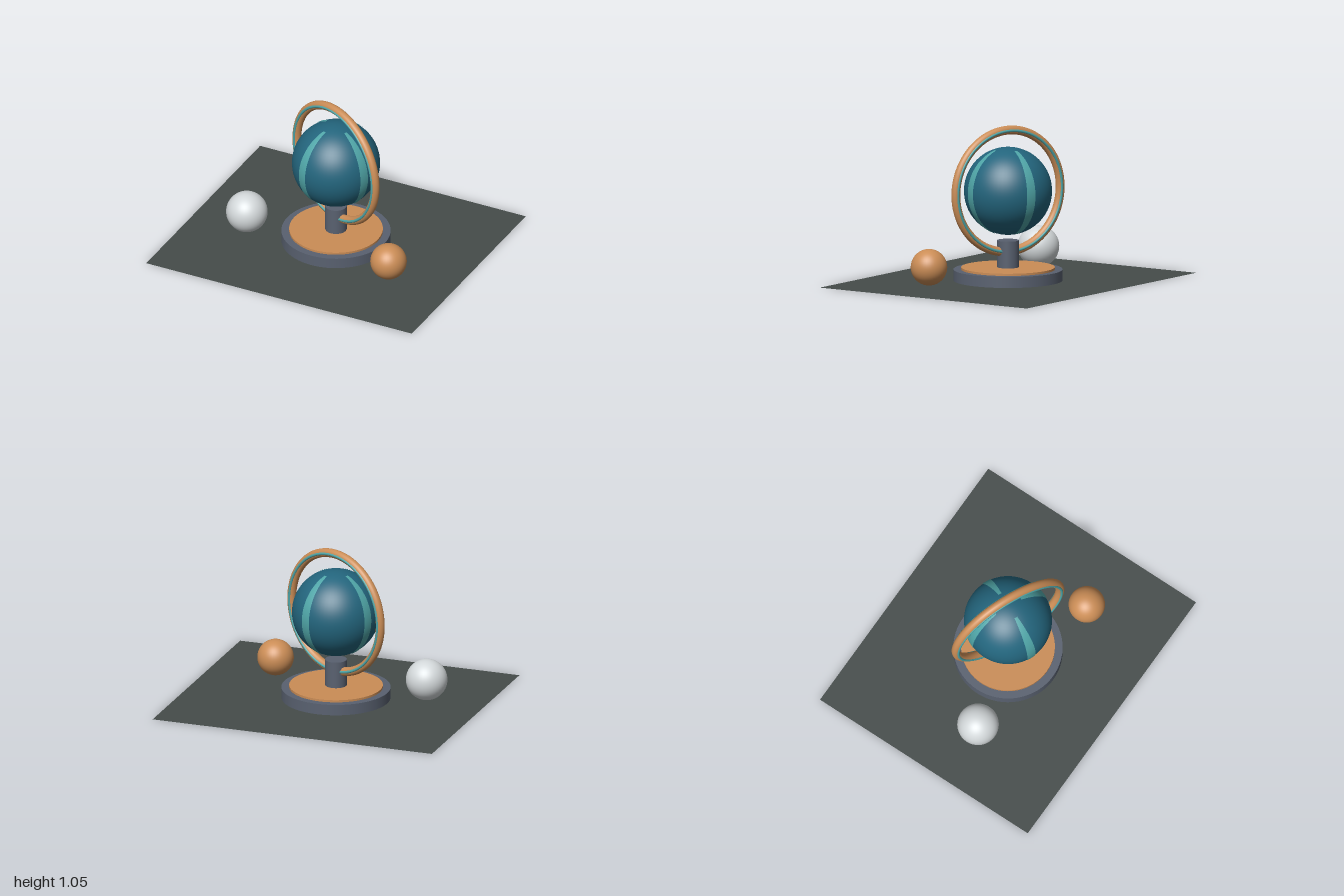
import * as THREE from 'three';

const mat = (name, color, side = THREE.FrontSide) => {
  const m = new THREE.MeshStandardMaterial({ color, side });
  m.name = name;
  return m;
};

export function createModel() {
  const model = new THREE.Group();
  model.name = 'globeDisplay';

  const slate = mat('slate', 0x596170);
  const copper = mat('copper', 0xcb8d56);
  const ocean = mat('oceanBlue', 0x23657d);
  const teal = mat('teal', 0x4fa5a7);
  const silver = mat('silver', 0xd3d8da);
  const ground = mat('darkFloor', 0x454c4a, THREE.DoubleSide);

  const add = (parent, name, geometry, material, x = 0, y = 0, z = 0) => {
    const mesh = new THREE.Mesh(geometry, material);
    mesh.name = name;
    mesh.position.set(x, y, z);
    parent.add(mesh);
    return mesh;
  };
  // Upright disc or post between two heights
  const disc = (name, r, y0, y1, material) =>
    add(model, name, new THREE.CylinderGeometry(r, r, y1 - y0, 64), material, 0, (y0 + y1) / 2, 0);

  // Floor and stepped stand
  add(model, 'floor', new THREE.PlaneGeometry(2, 1.69).rotateX(-Math.PI / 2), ground);
  disc('base', 0.367, 0.001, 0.075, slate);
  disc('baseInlay', 0.315, 0.07, 0.09, copper);
  disc('post', 0.073, 0.08, 0.272, slate);

  // Globe and ring share one turn about the vertical axis
  const globe = new THREE.Group();
  globe.name = 'globeAssembly';
  globe.position.y = 0.607;
  globe.rotation.y = -0.41;
  model.add(globe);

  add(globe, 'globe', new THREE.SphereGeometry(0.296, 64, 40), ocean);

  // Four meridian stripes, laid just over the globe
  const width = 0.22, cap = 0.34;
  for (let i = 0; i < 4; i++) {
    add(globe, 'meridianStripe',
      new THREE.SphereGeometry(0.299, 8, 40, i * Math.PI / 2 - width / 2, width, cap, Math.PI - 2 * cap), teal);
  }

  // Upright ring with a thin trim on each face
  add(globe, 'ring', new THREE.TorusGeometry(0.412, 0.03, 20, 96), copper);
  for (const s of [-1, 1]) {
    add(globe, 'ringTrim', new THREE.TorusGeometry(0.41, 0.01, 10, 96), teal, 0, 0, s * 0.025);
  }

  // Loose spheres on the floor
  add(model, 'silverBall', new THREE.SphereGeometry(0.14, 40, 28), silver, -0.59, 0.147, 0.16);
  add(model, 'copperBall', new THREE.SphereGeometry(0.123, 40, 28), copper, 0.535, 0.13, 0.275);

  return model;
}
